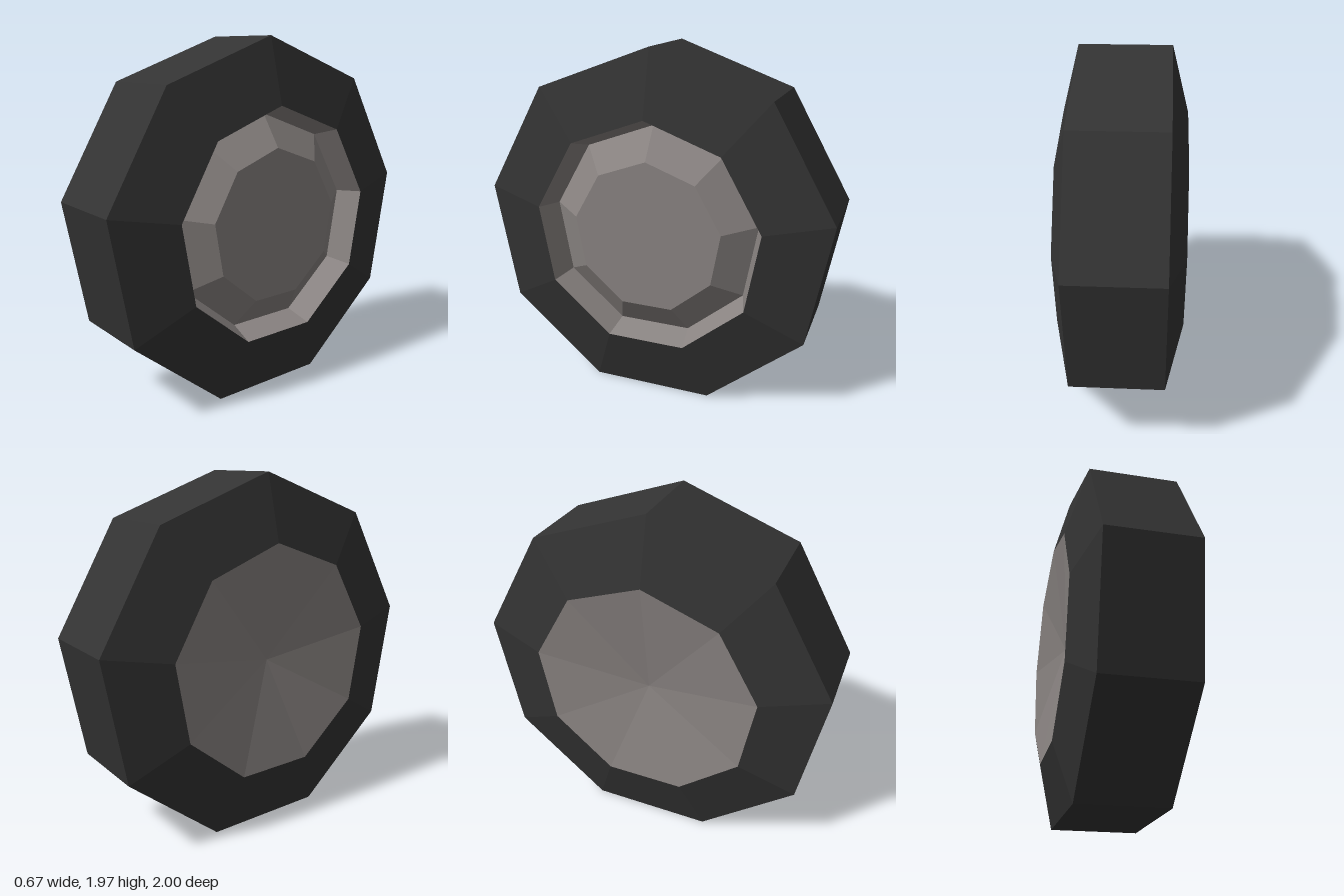
import * as THREE from 'three';

const SIDES = 9;
const RADIUS = 1.0154;
const CENTER_Y = RADIUS * Math.cos(Math.PI / SIDES);

const rubber = new THREE.MeshStandardMaterial({ color: 0x333333 });
rubber.name = 'dark rubber';
const metal = new THREE.MeshStandardMaterial({ color: 0x8a8482 });
metal.name = 'warm grey metal';

// Faceted ring of [radius, x] points turned about the x axis, one corner at the top
function turned(name, profile, material) {
  const points = profile.map(([r, x]) => new THREE.Vector2(r, x));
  const lathe = new THREE.LatheGeometry(points, SIDES, -Math.PI / 2);
  lathe.rotateZ(-Math.PI / 2);
  const geometry = lathe.toNonIndexed();
  geometry.computeVertexNormals();
  const mesh = new THREE.Mesh(geometry, material);
  mesh.name = name;
  return mesh;
}

export function createModel() {
  const wheel = new THREE.Group();
  wheel.name = 'wheel';

  // Tread with sloping sidewalls
  wheel.add(turned('tire', [
    [0.655, -0.337], [RADIUS, -0.245], [RADIUS, 0.245], [0.655, 0.337],
  ], rubber));

  // Outer side: recessed rim wall, then a raised, bevelled hub cap
  wheel.add(turned('rimWall', [[0.655, 0.337], [0.605, 0.19]], metal));
  wheel.add(turned('hubCap', [[0.605, 0.19], [0.43, 0.31], [0, 0.31]], metal));

  // Inner side: shallow dished plate
  wheel.add(turned('backPlate', [[0, -0.245], [0.655, -0.337]], metal));

  wheel.position.y = CENTER_Y;
  const model = new THREE.Group();
  model.name = 'wheelModel';
  model.add(wheel);
  return model;
}
